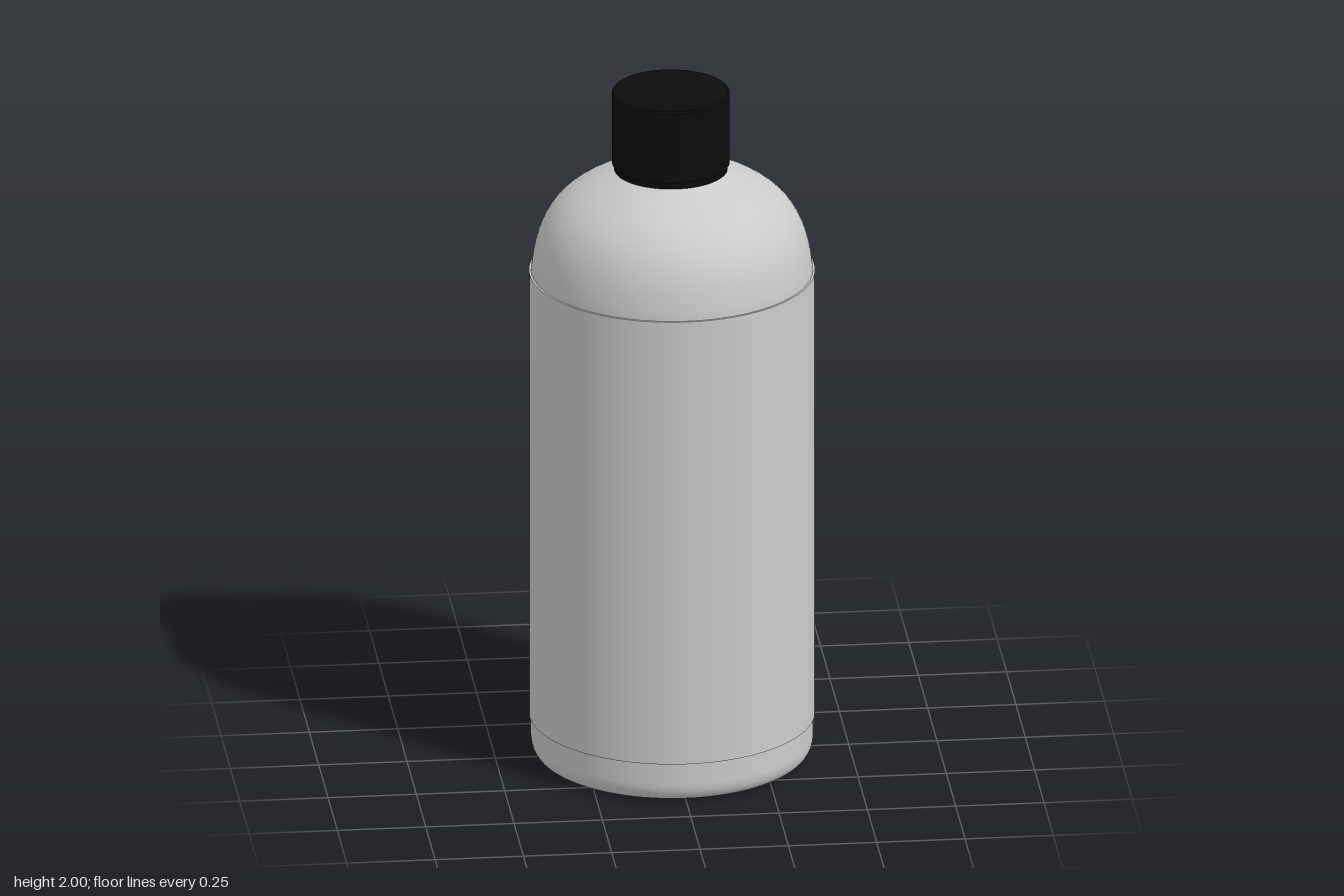
import * as THREE from 'three';

const SEG = 96;

function part(name, geometry, color, parent) {
  const mesh = new THREE.Mesh(geometry, new THREE.MeshStandardMaterial({ color }));
  mesh.name = name;
  parent.add(mesh);
  return mesh;
}

const cylinder = (radius, y0, y1) =>
  new THREE.CylinderGeometry(radius, radius, y1 - y0, SEG).translate(0, (y0 + y1) / 2, 0);

export function createModel() {
  const bottle = new THREE.Group();
  bottle.name = 'bottle';

  // Body: hollowed base, rounded foot, straight wall, domed shoulder, neck
  const profile = new THREE.Path();
  profile.moveTo(0, 0.06);
  profile.bezierCurveTo(0.12, 0.055, 0.24, 0.02, 0.31, 0.005);
  profile.quadraticCurveTo(0.33, 0, 0.35, 0);
  profile.bezierCurveTo(0.38, 0, 0.398, 0.02, 0.398, 0.06);
  profile.lineTo(0.398, 0.12);
  profile.lineTo(0.398, 1.45);
  profile.bezierCurveTo(0.385, 1.63, 0.32, 1.7, 0.16, 1.757);
  profile.quadraticCurveTo(0.145, 1.763, 0.145, 1.775);
  profile.lineTo(0.145, 1.8);
  part('body', new THREE.LatheGeometry(profile.getPoints(16), SEG), 0xcccccc, bottle);

  // Label sleeve wrapped round the straight wall, with thin edges at both ends
  const label = new THREE.Group();
  label.name = 'label';
  bottle.add(label);
  const [y0, y1, inner, outer] = [0.12, 1.46, 0.394, 0.403];
  part('labelWall', new THREE.CylinderGeometry(outer, outer, y1 - y0, SEG, 1, true)
    .translate(0, (y0 + y1) / 2, 0), 0xcccccc, label);
  for (const [name, y, turn] of [['labelTopEdge', y1, -1], ['labelBottomEdge', y0, 1]]) {
    part(name, new THREE.RingGeometry(inner, outer, SEG)
      .rotateX(turn * Math.PI / 2).translate(0, y, 0), 0xcccccc, label);
  }

  // Screw cap with a slightly narrower band below it
  const cap = new THREE.Group();
  cap.name = 'cap';
  cap.position.set(-0.003, 0, -0.004);
  bottle.add(cap);
  part('capBand', cylinder(0.16, 1.765, 1.79), 0x0b0b0b, cap);
  part('capShell', cylinder(0.166, 1.785, 1.994), 0x0b0b0b, cap);
  part('capTop', new THREE.CylinderGeometry(0.161, 0.166, 0.006, SEG)
    .translate(0, 1.997, 0), 0x0b0b0b, cap);

  return bottle;
}
